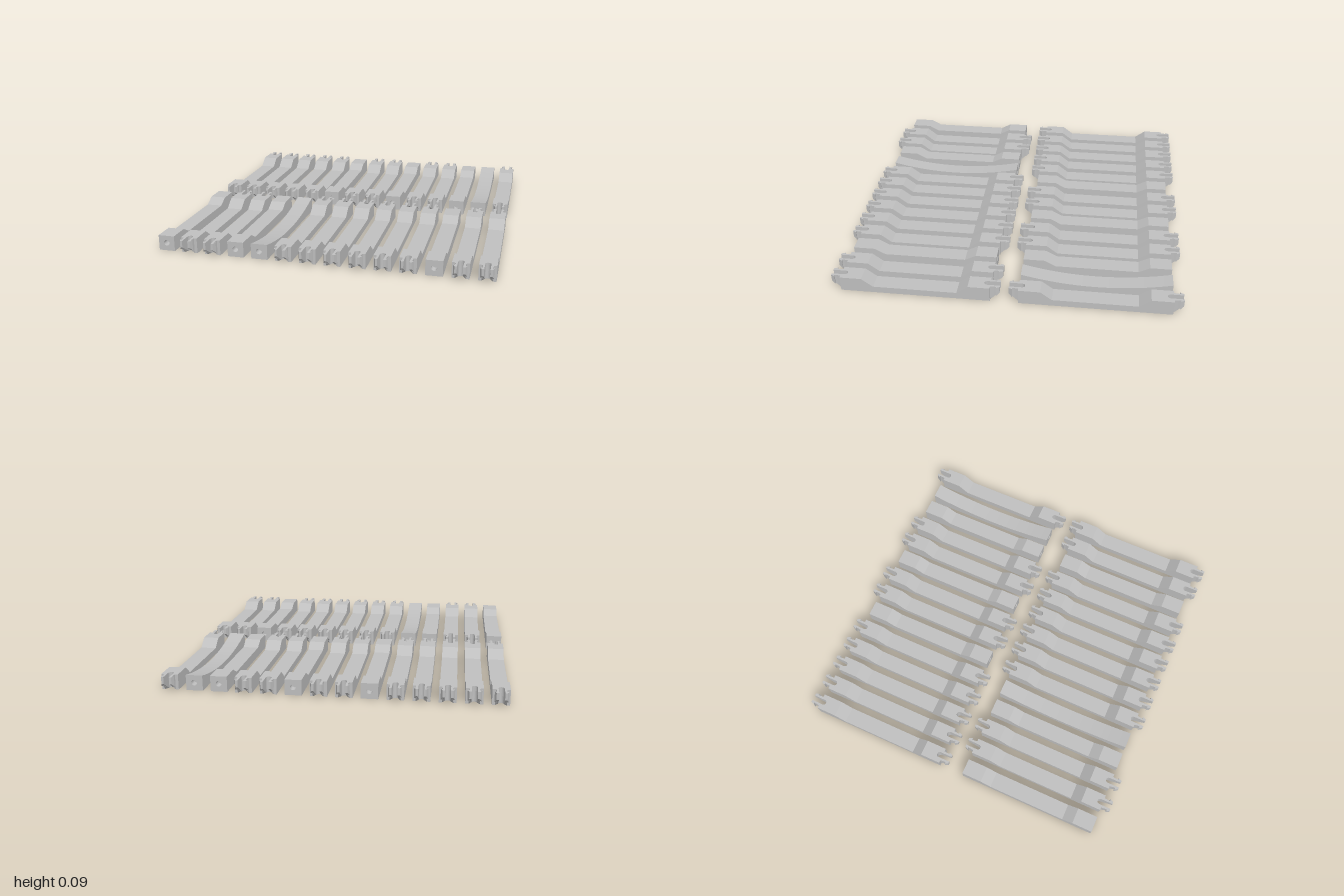
import * as THREE from 'three';

const H = 0.09, HW = 0.048;          // bar height, half width
const END = 0.4325, INNER = 0.385;   // bar end, start of the end block
const grey = new THREE.MeshStandardMaterial({ color: 0xbfbfbf });
grey.name = 'lightGrey';

const shapeOf = (pts) => new THREE.Shape(pts.map(([a, b]) => new THREE.Vector2(a, b)));
const arcY = (z) => 0.038 + (H - 0.038) * (z / END) ** 2;

// Long middle section, a side profile (z, y) swept across the width
function coreGeometry(floor, curved) {
  const pts = [[-INNER, 0], [INNER, 0]];
  if (curved) {
    for (let i = 0; i <= 20; i++) {
      const z = INNER * (1 - i / 10);
      pts.push([z, arcY(z)]);
    }
  } else {
    pts.push([INNER, H], [0.307, H], [0.242, floor], [-0.242, floor], [-0.307, H], [-INNER, H]);
  }
  const g = new THREE.ExtrudeGeometry(shapeOf(pts), { depth: HW * 2, bevelEnabled: false });
  g.translate(0, 0, -HW);
  g.rotateY(-Math.PI / 2);
  return g;
}

// End block with a U notch, two barbed prongs and a sloped underside
function clipGeometry() {
  const half = [
    [HW, INNER], [HW, END], [0.031, END], [0.028, 0.455], [0.028, 0.468],
    [0.038, 0.466], [0.029, 0.4875], [0.016, 0.4875], [0.016, 0.413],
  ];
  const notch = [];
  for (let i = 1; i < 8; i++) {
    const a = (i / 8) * Math.PI;
    notch.push([0.016 * Math.cos(a), 0.413 - 0.016 * Math.sin(a)]);
  }
  const mirrored = half.map(([x, z]) => [-x, z]).reverse();
  const g = new THREE.ExtrudeGeometry(shapeOf([...half, ...notch, ...mirrored]), { depth: H, bevelEnabled: false });
  g.rotateX(Math.PI / 2);
  g.translate(0, H, 0);
  const p = g.attributes.position;
  for (let i = 0; i < p.count; i++) {
    if (p.getY(i) < 0.01) p.setY(i, Math.max(0, (p.getZ(i) - END) * 0.9));
  }
  g.computeVertexNormals();
  return g;
}

// Plain end block with a round socket
function socketGeometry(curved) {
  const s = shapeOf([[-HW, 0], [HW, 0], [HW, H], [-HW, H]]);
  const hole = new THREE.Path();
  hole.absarc(0, 0.046, 0.017, 0, Math.PI * 2, true);
  s.holes.push(hole);
  const g = new THREE.ExtrudeGeometry(s, { depth: END - INNER, bevelEnabled: false, curveSegments: 8 });
  g.translate(0, 0, INNER);
  if (curved) {
    const p = g.attributes.position;
    for (let i = 0; i < p.count; i++) {
      if (p.getY(i) > 0.08) p.setY(i, arcY(p.getZ(i)));
    }
    g.computeVertexNormals();
  }
  return g;
}

export function createModel() {
  const model = new THREE.Group();
  model.name = 'connectorBars';
  const clip = clipGeometry(), socket = socketGeometry(false), curvedSocket = socketGeometry(true);
  const deepCore = coreGeometry(0.04, false), shallowCore = coreGeometry(0.055, false);
  const curvedCore = coreGeometry(0, true);

  // One letter per bar: c = clip ends, s = socket ends, a = curved with socket ends
  const rows = [
    { name: 'backBar', z: -0.5125, kinds: 'cccccsccsccsac' },
    { name: 'frontBar', z: 0.5125, kinds: 'sccsaccccccscc' },
  ];
  for (const row of rows) {
    [...row.kinds].forEach((kind, i) => {
      const bar = new THREE.Group();
      bar.name = row.name + (i + 1);
      const core = new THREE.Mesh({ c: deepCore, s: shallowCore, a: curvedCore }[kind], grey);
      core.name = 'middleSection';
      bar.add(core);
      for (const turn of [0, Math.PI]) {
        const end = new THREE.Mesh({ c: clip, s: socket, a: curvedSocket }[kind], grey);
        end.name = kind === 'c' ? 'clipEnd' : 'socketEnd';
        end.rotation.y = turn;
        bar.add(end);
      }
      bar.position.set((i - 6.5) * 0.1415, 0, row.z);
      model.add(bar);
    });
  }
  return model;
}
